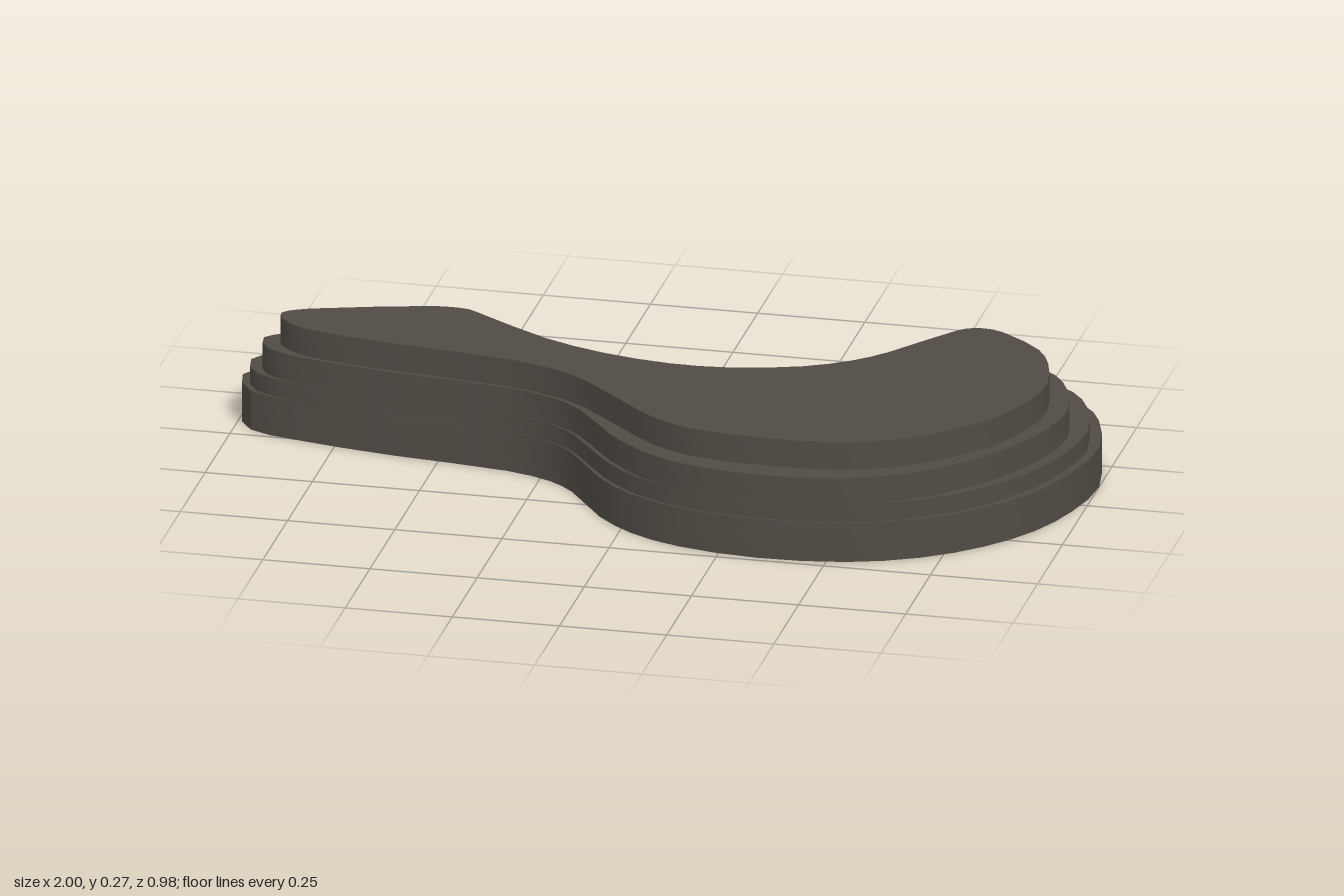
import * as THREE from 'three';
import { toCreasedNormals } from 'three/addons/utils/BufferGeometryUtils.js';

// Outline control points: base x, base z, matching top-terrace x, z
const OUTLINE = [
  [-1, -.13, -.9, -.09], [-.93, -.22, -.87, -.115], [-.85, -.26, -.82, -.135],
  [-.6, -.335, -.58, -.205], [-.535, -.345, -.53, -.21], [-.465, -.33, -.49, -.205],
  [-.405, -.3, -.45, -.18], [-.235, -.2, -.28, -.07], [-.1, -.14, -.13, -.01],
  [.03, -.12, .03, .02], [.155, -.125, .17, .015], [.285, -.16, .33, -.03],
  [.375, -.22, .43, -.09], [.445, -.285, .5, -.16], [.6, -.46, .62, -.325],
  [.65, -.49, .655, -.35], [.705, -.49, .7, -.35], [.77, -.465, .745, -.325],
  [.905, -.375, .83, -.25], [.96, -.29, .87, -.17], [1, -.12, .895, -.05],
  [.975, .04, .88, .06], [.92, .18, .83, .18], [.83, .3, .75, .28],
  [.705, .4, .65, .36], [.545, .465, .52, .415], [.34, .485, .34, .425],
  [.15, .455, .17, .405], [.03, .4, .07, .355], [-.065, .315, -.02, .275],
  [-.16, .18, -.13, .17], [-.225, .125, -.205, .12], [-.335, .085, -.33, .078],
  [-.61, .05, -.61, .04], [-.845, .005, -.83, -.005], [-.96, -.035, -.89, -.055],
];

// Each terrace: heights and how far it steps in sideways, from the back, from the front
const TERRACES = [
  { name: 'baseTerrace', y0: 0, y1: .095, side: 0, back: 0, front: 0 },
  { name: 'lowerTerrace', y0: .095, y1: .138, side: .22, back: .28, front: .07 },
  { name: 'middleTerrace', y0: .138, y1: .203, side: .57, back: .82, front: 0 },
  { name: 'topTerrace', y0: .203, y1: .27, side: 1, back: 1, front: 1 },
];

function terraceGeometry({ y0, y1, side, back, front }) {
  const points = OUTLINE.map(([bx, bz, tx, tz]) => {
    const dz = tz - bz;
    const x = bx + (tx - bx) * side;
    const z = bz + dz * (dz > 0 ? back : front);
    return new THREE.Vector3(x, -z, 0);
  });
  const curve = new THREE.CatmullRomCurve3(points, true, 'centripetal');
  const ring = curve.getPoints(OUTLINE.length * 2).slice(0, -1);
  const shape = new THREE.Shape(ring.map((p) => new THREE.Vector2(p.x, p.y)));
  const geometry = new THREE.ExtrudeGeometry(shape, { depth: y1 - y0, bevelEnabled: false });
  geometry.rotateX(-Math.PI / 2);
  geometry.translate(0, y0, 0);
  return toCreasedNormals(geometry, 0.5);
}

export function createModel() {
  const group = new THREE.Group();
  group.name = 'terracedMound';
  const stone = new THREE.MeshStandardMaterial({ color: 0x504c45 });
  stone.name = 'dark stone';

  for (const terrace of TERRACES) {
    const mesh = new THREE.Mesh(terraceGeometry(terrace), stone);
    mesh.name = terrace.name;
    group.add(mesh);
  }
  return group;
}
